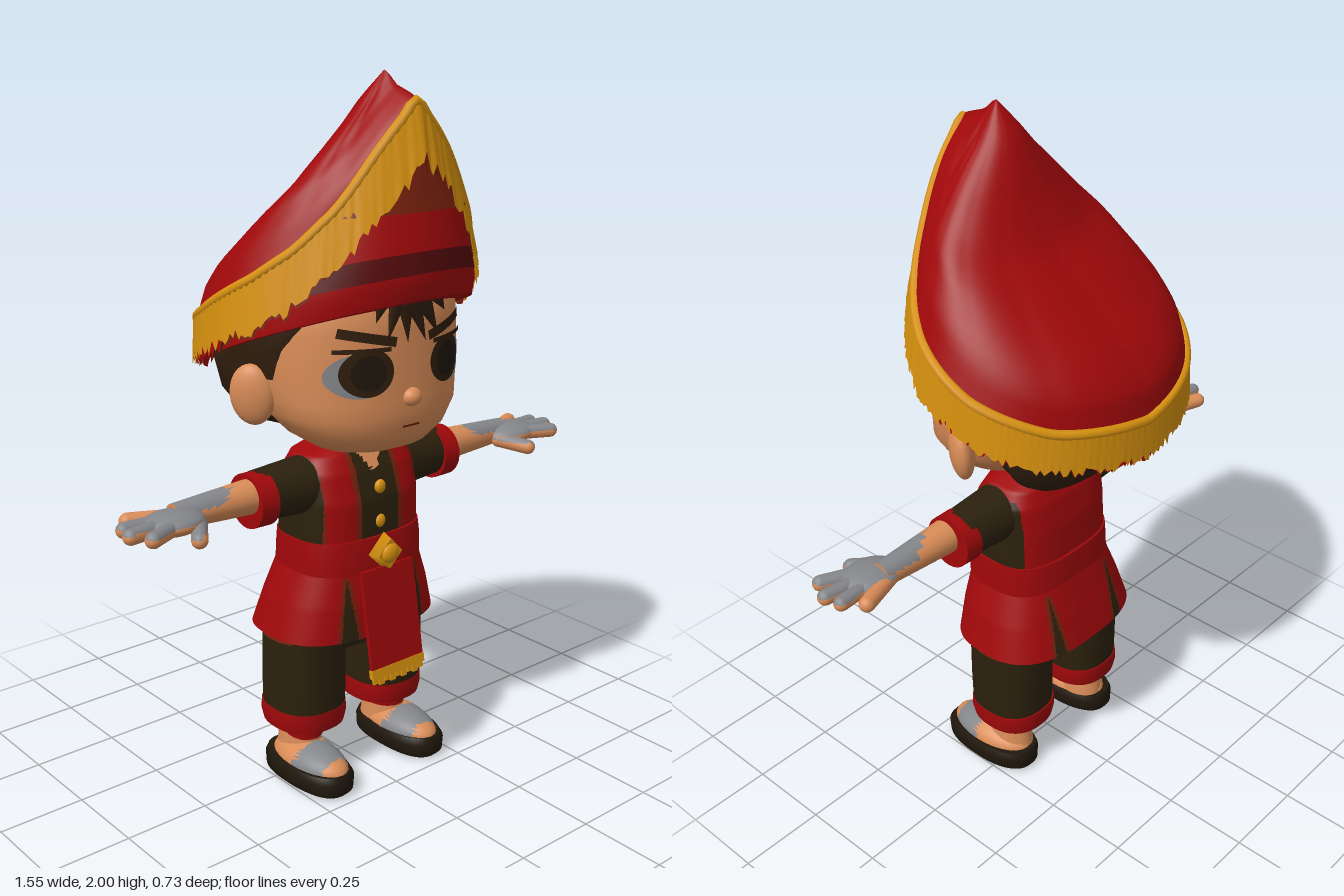
import * as THREE from 'three';

const mat = (name, color, side = THREE.FrontSide) => {
  const m = new THREE.MeshStandardMaterial({ color, side });
  m.name = name;
  return m;
};

// Linear lookup in rows of [key, value, value...]
function at(rows, k) {
  let i = 0;
  while (i < rows.length - 2 && k > rows[i + 1][0]) i++;
  const a = rows[i], b = rows[i + 1];
  const f = THREE.MathUtils.clamp((k - a[0]) / (b[0] - a[0]), 0, 1);
  return a.map((v, j) => v + (b[j] - v) * f);
}

// Surface of nu columns (closed around) and nv rows from a point rule
function wrapGrid(nu, nv, point) {
  const pos = [], idx = [];
  for (let i = 0; i <= nv; i++) for (let j = 0; j < nu; j++) pos.push(...point(j, i));
  for (let i = 0; i < nv; i++) for (let j = 0; j < nu; j++) {
    const k = (j + 1) % nu, a = i * nu + j, b = i * nu + k, c = b + nu, d = a + nu;
    idx.push(a, b, c, a, c, d);
  }
  const g = new THREE.BufferGeometry();
  g.setAttribute('position', new THREE.Float32BufferAttribute(pos, 3));
  g.setIndex(idx);
  g.computeVertexNormals();
  return g;
}

const sp = (v, n) => Math.sign(v) * Math.abs(v) ** (2 / n);

// Stacked rounded sections, rows [y, halfWidth, zBack, zFront, drop of the back edge]
function loft(rows, { n = 2.3, seg = 48, sub = 1, open = false } = {}) {
  const list = [];
  rows.forEach((r, i) => {
    if (i) for (let s = 1; s <= sub; s++) list.push(r.map((v, j) => rows[i - 1][j] + (v - rows[i - 1][j]) * s / sub));
    else list.push(r);
  });
  if (!open) {
    const cap = (r) => [r[0] - (r[4] || 0) / 2, 0, (r[2] + r[3]) / 2, (r[2] + r[3]) / 2, 0];
    const a = list[0], b = list[list.length - 1];
    list.unshift(cap(a), a);
    list.push(b, cap(b));
  }
  return wrapGrid(seg, list.length - 1, (j, i) => {
    const [y, hx, zb, zf, drop = 0] = list[i], t = j / seg * Math.PI * 2;
    return [hx * sp(Math.sin(t), n), y - drop * (1 - Math.cos(t)) / 2, (zb + zf) / 2 + (zf - zb) / 2 * sp(Math.cos(t), n)];
  });
}

// Sort triangles into material groups by their centre and average upward normal
function paint(g, count, rule) {
  const bins = Array.from({ length: count }, () => []), p = g.attributes.position, nr = g.attributes.normal, ix = g.index.array;
  for (let i = 0; i < ix.length; i += 3) {
    const t = [ix[i], ix[i + 1], ix[i + 2]];
    const avg = (f) => (f(t[0]) + f(t[1]) + f(t[2])) / 3;
    bins[rule(avg((k) => p.getX(k)), avg((k) => p.getY(k)), avg((k) => p.getZ(k)), avg((k) => nr.getY(k)))].push(...t);
  }
  g.setIndex(bins.flat());
  g.clearGroups();
  let s = 0;
  bins.forEach((b, m) => { g.addGroup(s, b.length, m); s += b.length; });
  return g;
}

function mirror(g) {
  const m = g.clone().scale(-1, 1, 1), a = m.index.array;
  for (let i = 0; i < a.length; i += 3) [a[i + 1], a[i + 2]] = [a[i + 2], a[i + 1]];
  return m;
}

const ball = (x, y, z, sx, sy, sz) => new THREE.SphereGeometry(1, 28, 18).scale(sx, sy, sz).translate(x, y, z);
const tubeX = (x0, x1, r0, r1, y, z) => new THREE.CylinderGeometry(r1, r0, x1 - x0, 28, 10).rotateZ(-Math.PI / 2).translate((x0 + x1) / 2, y, z);
function capsule(a, b, r) {
  const A = new THREE.Vector3(...a), B = new THREE.Vector3(...b), d = B.clone().sub(A);
  const q = new THREE.Quaternion().setFromUnitVectors(new THREE.Vector3(0, 1, 0), d.clone().normalize());
  const m = A.add(B).multiplyScalar(0.5);
  return new THREE.CapsuleGeometry(r, d.length(), 6, 14).applyQuaternion(q).translate(m.x, m.y, m.z);
}

export function createModel() {
  const root = new THREE.Group();
  const D = THREE.DoubleSide;
  const red = mat('red cloth', 0xa0080a, D), gold = mat('gold trim', 0xd8920f, D), skin = mat('skin', 0xda8d58);
  const olive = mat('dark olive cloth', 0x2b200c, D), hair = mat('dark brown hair', 0x301e0d), grey = mat('grey', 0x85868a);
  const maroon = mat('maroon band', 0x560a0c), rust = mat('rust edging', 0x75200c, D), dark = mat('near black', 0x20170c);
  const add = (name, g, m) => { const o = new THREE.Mesh(g, m); o.name = name; root.add(o); return o; };
  const pair = (name, g, m) => { add('left' + name, g, m); add('right' + name, mirror(g), m); };

  // Head, ears and nose
  const headRows = [[1.0, 0.1, 0.02, 0.2], [1.02, 0.17, -0.02, 0.25], [1.06, 0.23, -0.08, 0.28], [1.12, 0.278, -0.14, 0.293],
    [1.2, 0.298, -0.2, 0.29], [1.3, 0.305, -0.22, 0.287], [1.4, 0.3, -0.22, 0.283], [1.5, 0.25, -0.15, 0.24]];
  const faceZ = (x, y) => {
    const [, hx, zb, zf] = at(headRows, y);
    return (zb + zf) / 2 + (zf - zb) / 2 * Math.max(0, 1 - Math.abs(x / hx) ** 2.3) ** (1 / 2.3);
  };
  add('head', loft(headRows, { seg: 64, sub: 2 }), skin);
  add('neck', new THREE.CylinderGeometry(0.08, 0.09, 0.14, 24).translate(0, 0.98, 0.02), skin);
  add('nose', ball(0, 1.168, 0.288, 0.03, 0.026, 0.028), skin);
  pair('Ear', ball(0, 0, 0, 0.034, 0.085, 0.062).rotateY(-0.65).rotateZ(-0.1).translate(0.318, 1.172, 0.015), skin);

  // Thin face details laid onto the head
  const onFace = (g, off) => {
    const p = g.attributes.position;
    for (let i = 0; i < p.count; i++) p.setZ(i, faceZ(p.getX(i), p.getY(i)) + off);
    g.computeVertexNormals();
    return g;
  };
  const disc = (x, y, rx, ry, off) => onFace(new THREE.RingGeometry(0.001, 1, 32, 6).scale(rx, ry, 1).translate(x, y, 0), off);
  const strip = (x, y, w, h, rot, off) => onFace(new THREE.PlaneGeometry(w, h, 12, 2).rotateZ(rot).translate(x, y, 0), off);
  pair('EyeWhite', disc(0.155, 1.243, 0.086, 0.06, 0.003), grey);
  pair('Iris', disc(0.138, 1.25, 0.073, 0.064, 0.006), hair);
  pair('Pupil', disc(0.138, 1.25, 0.048, 0.047, 0.009), dark);
  pair('EyelidLine', strip(0.15, 1.31, 0.15, 0.012, 0.02, 0.009), hair);
  pair('Eyebrow', strip(0.135, 1.342, 0.16, 0.026, 0.22, 0.008), hair);
  add('mouth', strip(0, 1.09, 0.06, 0.006, 0, 0.004), rust);

  // Hair: rounded nape, sides above the ears with sideburns, and a tuft over the forehead
  add('backHair', loft([[1.025, 0.12, -0.16, -0.05], [1.05, 0.19, -0.2, -0.04], [1.09, 0.245, -0.235, -0.03], [1.15, 0.29, -0.262, -0.01],
    [1.25, 0.316, -0.275, 0], [1.45, 0.31, -0.26, 0]]), hair);
  add('sideHair', loft([[1.22, 0.312, -0.25, 0.15], [1.3, 0.321, -0.26, 0.17], [1.37, 0.322, -0.26, 0.2], [1.46, 0.29, -0.24, 0.2]], { n: 4 }), hair);
  for (const [x, len, lean] of [[-0.1, 0.09, -0.4], [-0.06, 0.14, -0.3], [-0.02, 0.15, 0.1], [0.02, 0.16, 0.4], [0.06, 0.15, 0.5], [0.1, 0.09, 0.6]])
    add('hairTuft', new THREE.ConeGeometry(0.038, len, 10).rotateX(Math.PI).scale(1, 1, 0.4).rotateZ(lean).translate(x, 1.465 - len / 2, faceZ(x, 1.4) + 0.004), hair);

  // Inner cap with a dark band and rust peak
  const hat = { n: 2, seg: 64 };
  add('capLower', loft([[1.44, 0.355, -0.3, 0.35, 0.24], [1.48, 0.35, -0.29, 0.36, 0.22], [1.51, 0.342, -0.275, 0.36, 0.2]], hat), red);
  add('capBand', loft([[1.51, 0.343, -0.275, 0.362, 0.2], [1.565, 0.316, -0.23, 0.357, 0.17]], hat), maroon);
  add('capUpper', loft([[1.565, 0.314, -0.23, 0.356, 0.17], [1.66, 0.25, -0.04, 0.335, 0.06]], hat), red);
  add('capPeak', loft([[1.66, 0.25, 0.02, 0.335, 0.03], [1.78, 0.15, 0.1, 0.302, 0], [1.9, 0.05, 0.17, 0.265, 0]], hat), rust);

  // Pointed hood rising from a slanted rim
  const rimY = [[0, 1.93], [0.25, 1.83], [0.55, 1.68], [0.85, 1.575], [1.17, 1.5], [1.78, 1.39], [2.4, 1.31], [Math.PI, 1.27]];
  const rim = (t, out = 0) => {
    const a = t > Math.PI ? 2 * Math.PI - t : t;
    return [(0.4 + out) * Math.sin(t), at(rimY, a)[1], -0.03 + (0.32 + out) * Math.cos(t)];
  };
  const inX = [[0, 0], [0.19, 0.1], [0.4, 0.27], [0.6, 0.51], [0.79, 0.76], [1, 1]];
  const inZ = [[0, 0], [0.12, 0.02], [0.23, 0.13], [0.38, 0.38], [0.52, 0.62], [0.66, 0.73], [0.89, 0.87], [1, 1]];
  const N = 96;
  add('hood', wrapGrid(N, 24, (j, i) => {
    const h = i / 24, [x, y, z] = rim(j / N * Math.PI * 2);
    return [x * (1 - at(inX, h)[1]), y + (2 - y) * h, z + (0.17 - z) * at(inZ, h)[1]];
  }), red);
  const rimCurve = new THREE.CatmullRomCurve3(Array.from({ length: 64 }, (_, i) => new THREE.Vector3(...rim(i / 64 * Math.PI * 2))), true);
  add('rimCord', new THREE.TubeGeometry(rimCurve, 128, 0.014, 8, true), gold);

  // Ragged fringe hanging from the rim, with a lining that peeks out below
  const F = 240;
  const ragged = (len, out) => wrapGrid(F, 2, (j, i) => {
    const t = j / F * Math.PI * 2, flare = 0.003 + 0.014 * Math.max(0, Math.cos(t));
    const [x, y, z] = rim(t, out + flare * (2 - i) + (j % 2) * 0.003);
    const hash = Math.abs(Math.sin(j * 12.99) * 437.58) % 1;
    const length = len * (0.86 + 0.14 * Math.cos(t)) * (0.8 + 0.28 * hash);
    return [x, y - length * (2 - i) / 2, z];
  });
  add('fringe', ragged(0.152, 0.008), gold);
  add('fringeLining', paint(ragged(0.162, -0.003), 2, (x, y, z) => (z > 0 ? 0 : 1)), [rust, red]);

  // Torso: vest over a dark shirt with an open neck
  add('torso', paint(loft([[0.62, 0.2, -0.12, 0.18], [0.74, 0.2, -0.11, 0.172], [0.85, 0.198, -0.105, 0.17], [0.93, 0.195, -0.09, 0.145],
    [0.975, 0.17, -0.07, 0.12], [1.0, 0.1, -0.05, 0.1]], { n: 3, seg: 192, sub: 6 }), 4, (x, y, z) => {
    const a = Math.abs(x);
    if (z > 0.05 && y > 0.93 && a < 0.05 * (y - 0.92) / 0.07) return 3;
    if (z > 0.05 && a < 0.066) return 1;
    if (a > 0.17 && Math.abs(z - 0.03) < 0.1 && y < 0.95 && y > 0.74) return 1;
    if (z > 0.05 && (a < 0.084 || (a > 0.166 && a < 0.182))) return 2;
    return 0;
  }), [red, olive, rust, skin]);
  for (const y of [0.885, 0.785]) add('button', ball(0, y, 0.168, 0.018, 0.02, 0.012), gold);
  add('belt', loft([[0.65, 0.21, -0.125, 0.188], [0.7, 0.209, -0.122, 0.187], [0.745, 0.206, -0.118, 0.18]], { n: 2.8 }), red);
  add('buckle', new THREE.CylinderGeometry(0.044, 0.056, 0.03, 4).rotateX(Math.PI / 2).translate(0, 0.7, 0.2), gold);
  add('buckleBoss', ball(0, 0.7, 0.21, 0.032, 0.03, 0.018), gold);

  // Flared tunic skirt with four slits
  add('skirt', paint(loft([[0.46, 0.272, -0.182, 0.2], [0.56, 0.243, -0.155, 0.195], [0.67, 0.203, -0.122, 0.183]], { n: 2.7, seg: 240, sub: 12, open: true }), 3, (x, y, z) => {
    const a = Math.abs(Math.abs(x) - 0.125), w = (z > 0 ? 0.028 : 0.018) * (0.64 - y) / 0.18;
    if (Math.abs(z - 0.01) < 0.07 || y > 0.64) return 0;
    return a < w ? 1 : a < w + 0.011 ? 2 : 0;
  }), [red, olive, rust]);
  add('hips', loft([[0.4, 0.2, -0.1, 0.12], [0.47, 0.235, -0.125, 0.15], [0.64, 0.19, -0.11, 0.16]]), olive);
  add('underHem', loft([[0.443, 0.262, -0.13, 0.145], [0.475, 0.255, -0.13, 0.15]], { n: 2.6 }), rust);

  // Hanging front sash with gold hem
  const sash = new THREE.Group();
  sash.name = 'frontSash';
  const part = (name, g, m) => { const o = new THREE.Mesh(g, m); o.name = name; sash.add(o); };
  part('sashCloth', new THREE.BoxGeometry(0.19, 0.29, 0.012).translate(0, -0.145, 0), red);
  part('sashHem', new THREE.BoxGeometry(0.194, 0.026, 0.016).translate(0, -0.295, 0), gold);
  for (let i = 0; i < 9; i++) part('sashTassel', new THREE.BoxGeometry(0.018, 0.024, 0.008).translate(-0.084 + i * 0.021, -0.312 - (i % 2) * 0.006, 0), gold);
  sash.position.set(0, 0.66, 0.197);
  sash.rotation.x = -0.17;
  root.add(sash);

  // Arms: sleeve, cuff, forearm and open hand with a grey back
  pair('Sleeve', tubeX(0.15, 0.33, 0.082, 0.07, 0.895, 0.035), olive);
  pair('SleeveCuff', tubeX(0.305, 0.362, 0.077, 0.076, 0.888, 0.037), red);
  const glove = (g, x0) => paint(g, 2, (x, y, z, ny) => (ny > 0.3 && x > x0 + 1.5 * Math.abs(z - 0.06) ? 1 : 0));
  pair('Forearm', glove(tubeX(0.33, 0.6, 0.05, 0.035, 0.904, 0.047), 0.42), [skin, grey]);
  pair('Palm', glove(ball(0.615, 0.9, 0.07, 0.088, 0.031, 0.07), 0.4), [skin, grey]);
  for (const [a, b, r] of [[[0.64, 0.9, 0.045], [0.742, 0.9, 0.038], 0.021], [[0.64, 0.9, 0.075], [0.752, 0.9, 0.088], 0.022], [[0.63, 0.9, 0.1], [0.722, 0.9, 0.143], 0.022]])
    pair('Finger', glove(capsule(a, b, r), 0.4), [skin, grey]);
  pair('LittleFinger', capsule([0.57, 0.895, 0.035], [0.7, 0.9, -0.013], 0.022), skin);
  pair('Thumb', glove(capsule([0.55, 0.89, 0.09], [0.6, 0.875, 0.165], 0.022), 0.42), [skin, grey]);

  // Legs: trousers, cuffs, ankle bands
  const X = 0.147;
  pair('TrouserLeg', loft([[0.18, 0.11, -0.107, 0.122], [0.3, 0.111, -0.11, 0.127], [0.5, 0.108, -0.11, 0.13]], { n: 2.4 }).translate(X, 0, 0), olive);
  pair('TrouserCuff', loft([[0.165, 0.108, -0.108, 0.12], [0.195, 0.115, -0.114, 0.126], [0.225, 0.113, -0.112, 0.125]], { n: 2.4 }).translate(X, 0, 0), red);
  pair('AnkleBand', loft([[0.125, 0.056, -0.055, 0.08], [0.2, 0.062, -0.06, 0.085]], { n: 2 }).translate(0.16, 0, 0), red);

  // Feet in open shoes
  pair('Ankle', loft([[0.05, 0.06, -0.075, 0.08], [0.15, 0.053, -0.06, 0.078]], { n: 2 }).translate(0.163, 0, 0), skin);
  pair('Foot', paint(ball(0.173, 0.063, 0.07, 0.076, 0.056, 0.145), 2, (x, y, z) => (z > 0.08 && z < 0.18 && y > 0.06 ? 1 : 0)), [skin, grey]);
  pair('ShoeSole', loft([[0.004, 0.07, -0.085, 0.215], [0.015, 0.084, -0.094, 0.226], [0.05, 0.087, -0.095, 0.228], [0.068, 0.078, -0.088, 0.215]], { n: 2.4 }).translate(0.176, 0, 0), dark);
  pair('SolePad', loft([[0, 0.062, -0.075, 0.205], [0.005, 0.062, -0.075, 0.205]], { n: 2.2 }).translate(0.176, 0, 0), gold);

  return root;
}
